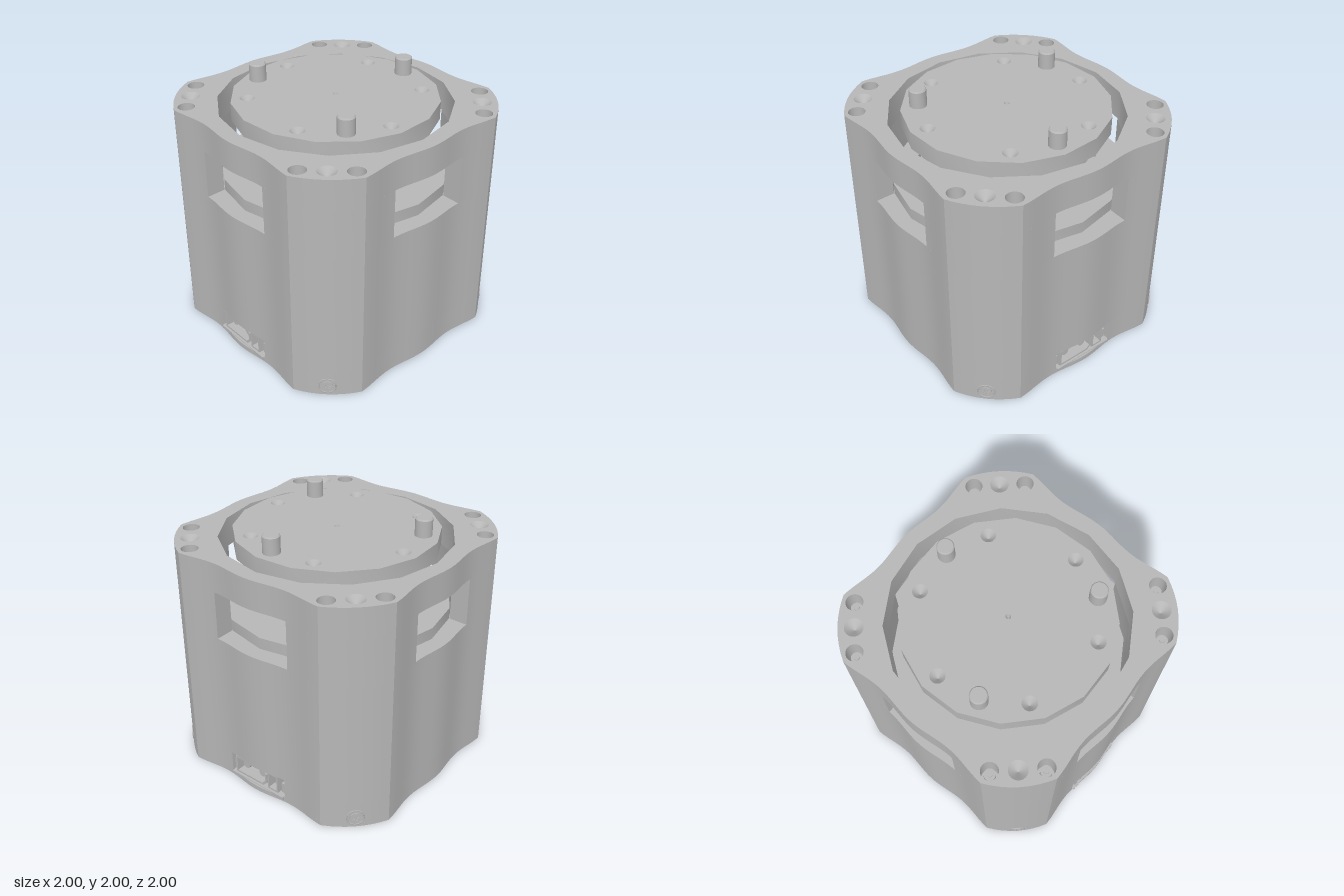
import * as THREE from 'three';
import { toCreasedNormals } from 'three/addons/utils/BufferGeometryUtils.js';

const V = (x, y) => new THREE.Vector2(x, y);
const WINDOW = 0.335, TUNNEL = 0.27, EDGE = 0.64, BORE = 0.885;

// Wavy side wall: distance from the centre at offset t along the side
const wall = t => 0.983 + 0.016 * Math.cos(2 * Math.PI * t / 0.66);
const turn = (p, k) => p.rotateAround(V(0, 0), k * Math.PI / 2);

// Outline pieces in plan; k counts quarter turns
function run(k, a, b) {
  const n = Math.max(4, Math.round((b - a) * 22));
  return Array.from({ length: n + 1 }, (_, i) => {
    const t = a + (b - a) * i / n;
    return turn(V(wall(t), t), k);
  });
}
function corner(k) {
  const a0 = Math.atan2(EDGE, wall(EDGE)), a1 = Math.PI / 2 - a0;
  return Array.from({ length: 7 }, (_, i) => {
    const u = (i + 1) / 8, a = a0 + (a1 - a0) * u, r = 1.187 + 0.014 * Math.sin(Math.PI * u);
    return turn(V(r * Math.cos(a), r * Math.sin(a)), k);
  });
}
const outline = () => [0, 1, 2, 3].flatMap(k => [...run(k, -EDGE, EDGE), ...corner(k)]);
const polygon = (r, offset = 0) => Array.from({ length: 16 }, (_, i) => {
  const a = offset + i * Math.PI / 8;
  return V(r * Math.cos(a), r * Math.sin(a));
});
const circle = (x, z, r) => new THREE.Path().absarc(x, -z, r, 0, Math.PI * 2, false);

// Upright slab from a plan shape between two heights
function slab(points, holes, y0, y1) {
  const shape = new THREE.Shape(points);
  shape.holes.push(...holes);
  const g = new THREE.ExtrudeGeometry(shape, { depth: y1 - y0, bevelEnabled: false, curveSegments: 10 });
  g.rotateX(-Math.PI / 2).translate(0, y0, 0);
  return toCreasedNormals(g, 0.5);
}

export function createModel() {
  const root = new THREE.Group();
  const grey = new THREE.MeshStandardMaterial({ color: 0xb6b6b6 });
  grey.name = 'grey';
  const greyInside = new THREE.MeshStandardMaterial({ color: 0xb6b6b6, side: THREE.DoubleSide });
  greyInside.name = 'grey two sided';
  function add(name, geo, parent = root, mat = grey) {
    const m = new THREE.Mesh(geo, mat);
    m.name = name;
    parent.add(m);
    return m;
  }
  const cyl = (r, y0, y1, x, z) =>
    new THREE.CylinderGeometry(r, r, y1 - y0, 20).translate(x, (y0 + y1) / 2, z);
  const pit = (r, y, x, z) =>
    new THREE.ConeGeometry(r, 0.06, 20, 1, true).rotateX(Math.PI).translate(x, y - 0.03, z);
  const box = (x0, x1, y0, y1, z0, z1) =>
    new THREE.BoxGeometry(x1 - x0, y1 - y0, z1 - z0).translate((x0 + x1) / 2, (y0 + y1) / 2, (z0 + z1) / 2);

  // Corner hole positions
  const bolts = [], sinks = [];
  for (const sx of [-1, 1]) for (const sz of [-1, 1]) {
    bolts.push([0.63 * sx, 0.9 * sz], [0.9 * sx, 0.63 * sz]);
    sinks.push([0.768 * sx, 0.768 * sz]);
  }

  // Bottom plate with cooling slots
  const slots = [];
  for (let i = 0; i < 8; i++) {
    const z = -0.49 + 0.14 * i, h = Math.sqrt(0.97 - z * z) - 0.1;
    slots.push(new THREE.Path([V(-h, z - 0.032), V(h, z - 0.032), V(h, z + 0.032), V(-h, z + 0.032)]));
  }
  const plateHoles = bolts.map(([x, z]) => circle(x, z, 0.035));
  add('bottomPlate', slab(outline(), [...slots, ...plateHoles], 0, 0.04));
  add('tunnelFloor', box(-TUNNEL, TUNNEL, 0.04, 0.05, -0.93, 0.93));

  // Lower housing, two halves either side of the connector tunnel
  const half = [...run(3, TUNNEL, EDGE), ...corner(3), ...run(0, -EDGE, EDGE), ...corner(0), ...run(1, -EDGE, -TUNNEL)];
  for (let i = 0; i < 2; i++) add('lowerHousing', slab(half, [], 0.04, 0.21)).rotation.y = i * Math.PI;

  // Main housing
  add('housing', slab(outline(), [], 0.21, 1.21));

  // Four posts that leave a window in each side
  const post = [...run(0, WINDOW, EDGE), ...corner(0), ...run(1, -EDGE, -WINDOW),
    ...[3, 2, 1].map(i => polygon(BORE)[i])];
  for (let i = 0; i < 4; i++) add('windowPost', slab(post, [], 1.21, 1.59)).rotation.y = i * Math.PI / 2;

  // Top ring with bore and corner holes
  add('topRing', slab(outline(), [
    new THREE.Path(polygon(BORE)),
    ...bolts.map(([x, z]) => circle(x, z, 0.064)),
    ...sinks.map(([x, z]) => circle(x, z, 0.07)),
  ], 1.59, 1.82));
  for (const [x, z] of bolts) {
    add('topBolt', cyl(0.042, 1.59, 1.72, x, z));
    add('topBoltCentre', cyl(0.02, 1.72, 1.73, x, z));
  }
  for (const [x, z] of sinks) add('countersink', pit(0.07, 1.82, x, z), root, greyInside);

  // Stator seen through the windows
  const stator = [V(0.88, 1.1), V(0.88, 1.3), V(0.72, 1.3), V(0.72, 1.26), V(0, 1.26)];
  add('stator', toCreasedNormals(new THREE.LatheGeometry(stator, 16), 0.5));

  // Rotor with drilled face and stepped underside
  const drills = [[-0.27, -0.595], [0.38, -0.53], [-0.65, -0.07]].flatMap(([x, z]) => [[x, z], [-x, -z]]);
  const offset = THREE.MathUtils.degToRad(15.1);
  add('rotorDisc', slab(polygon(0.78, offset), [...drills.map(([x, z]) => circle(x, z, 0.056)), circle(0, 0, 0.02)], 1.72, 1.862));
  for (const [x, z] of drills) add('rotorDrill', pit(0.056, 1.862, x, z), root, greyInside);
  add('rotorCentre', pit(0.02, 1.862, 0, 0), root, greyInside);
  const under = [V(0, 1.7), V(0.6, 1.7), V(0.6, 1.62), V(0.7, 1.62), V(0.7, 1.72)];
  add('rotorUnderside', toCreasedNormals(new THREE.LatheGeometry(under, 16), 0.5)).rotation.y =
    THREE.MathUtils.degToRad(-7.4);

  // Drive pins with a small top chamfer
  for (const [x, z] of [[0.065, -0.65], [-0.594, 0.263], [0.526, 0.378]]) {
    const pin = [V(0.065, 1.85), V(0.065, 1.99), V(0.056, 2), V(0, 2)];
    add('drivePin', toCreasedNormals(new THREE.LatheGeometry(pin, 24), 0.5)).position.set(x, 0, z);
  }

  // Cross-head screws on the rounded corners
  const arm = 0.026, w = 0.008;
  const cross = [[-w, arm], [-w, w], [-arm, w], [-arm, -w], [-w, -w], [-w, -arm],
    [w, -arm], [w, -w], [arm, -w], [arm, w], [w, w], [w, arm]].map(([x, y]) => V(x, y).rotateAround(V(0, 0), 0.4));
  const head = new THREE.Shape().absarc(0, 0, 0.043, 0, Math.PI * 2, false);
  head.holes.push(new THREE.Path(cross));
  const headGeo = new THREE.ExtrudeGeometry(head, { depth: 0.008, bevelEnabled: false, curveSegments: 20 });
  for (let i = 0; i < 4; i++) {
    const screw = new THREE.Group();
    screw.name = 'cornerScrew';
    const a = Math.PI / 4 + i * Math.PI / 2;
    screw.position.set(1.199 * Math.sin(a), 0.083, 1.199 * Math.cos(a));
    screw.rotation.y = a;
    add('screwHead', headGeo, screw);
    add('screwRim', new THREE.TorusGeometry(0.064, 0.006, 6, 28), screw);
    root.add(screw);
  }

  // Power and signal connectors, front and back
  const shell = (outer, inner, depth) => {
    const s = new THREE.Shape(outer.map(p => V(...p)));
    s.holes.push(new THREE.Path(inner.map(p => V(...p))));
    return new THREE.ExtrudeGeometry(s, { depth, bevelEnabled: false });
  };
  const plug = (x0, x1, y0, y1, c) => [[x0, y0], [x1 - c, y0], [x1, y0 + c], [x1, y1 - c], [x1 - c, y1], [x0, y1]];
  const rect = (x0, x1, y0, y1) => [[x0, y0], [x1, y0], [x1, y1], [x0, y1]];
  for (let i = 0; i < 2; i++) {
    const c = new THREE.Group();
    c.name = 'connectors';
    c.rotation.y = i * Math.PI;
    add('powerShell', shell(plug(-0.23, 0.085, 0.05, 0.2, 0.035), plug(-0.215, 0.07, 0.065, 0.185, 0.03), 0.2), c).position.z = 0.77;
    add('powerBack', box(-0.22, 0.075, 0.06, 0.19, 0.77, 0.81), c);
    for (const x of [-0.152, 0.015])
      add('powerPin', new THREE.CylinderGeometry(0.034, 0.034, 0.13, 16).rotateX(Math.PI / 2).translate(x, 0.128, 0.87), c);
    add('signalShell', shell(rect(0.1, 0.2, 0.05, 0.2), rect(0.112, 0.188, 0.064, 0.188), 0.2), c).position.z = 0.77;
    add('signalBack', box(0.105, 0.195, 0.055, 0.195, 0.77, 0.81), c);
    for (const y of [0.095, 0.165]) add('signalPin', box(0.143, 0.157, y - 0.007, y + 0.007, 0.8, 0.93), c);
    for (const x of [-0.25, 0.235]) add('bracket', box(x - 0.02, x + 0.02, 0.05, 0.135, 0.72, 0.94), c);
    add('frontLip', box(-0.26, 0.26, 0.02, 0.045, 0.9, 0.985), c);
    root.add(c);
  }
  return root;
}
